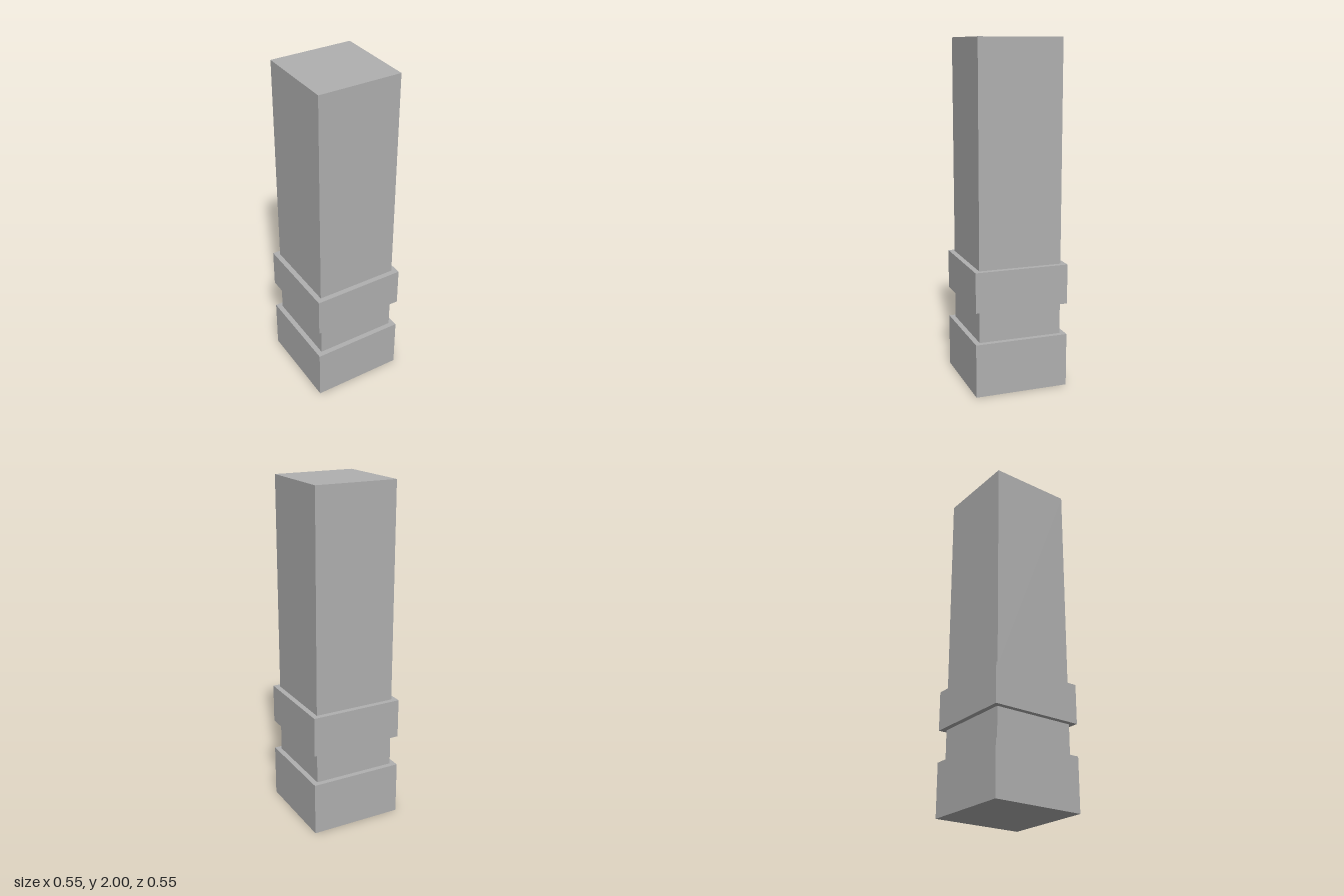
import * as THREE from 'three';

export function createModel() {
  const model = new THREE.Group();
  model.name = 'pillar';

  const stone = new THREE.MeshStandardMaterial({ color: 0xb0b0b0 });
  stone.name = 'grey stone';

  // Square block between two heights
  function addBlock(name, width, bottom, top) {
    const block = new THREE.Mesh(new THREE.BoxGeometry(width, top - bottom, width), stone);
    block.name = name;
    block.position.y = (bottom + top) / 2;
    model.add(block);
  }

  addBlock('base', 0.55, 0, 0.312);
  addBlock('neck', 0.488, 0.312, 0.498);
  addBlock('collar', 0.55, 0.498, 0.73);
  addBlock('shaft', 0.488, 0.73, 2);

  return model;
}
